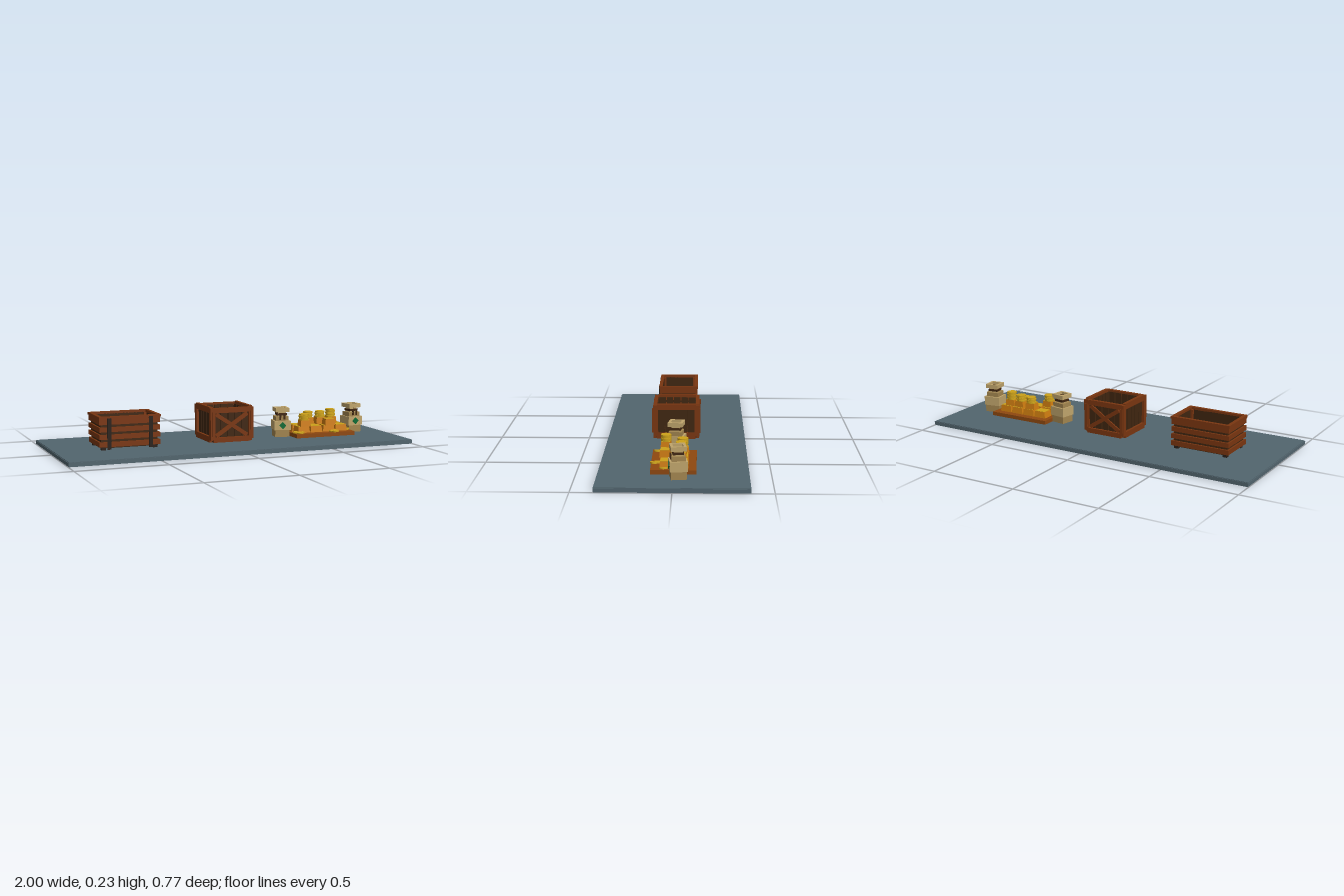
import * as THREE from 'three';

const mat = (name, color) => {
  const m = new THREE.MeshStandardMaterial({ color });
  m.name = name;
  return m;
};

export function createModel() {
  const slate = mat('slate', 0x52656e), wood = mat('wood', 0x7a3610), darkWood = mat('darkWood', 0x402610);
  const iron = mat('iron', 0x2a2019), palletWood = mat('palletWood', 0x8f480f);
  const amber = mat('amber', 0xcf7d10), gold = mat('gold', 0xcda21a);
  const cloth = mat('cloth', 0xc0a56c), shadeCloth = mat('shadeCloth', 0xa2854f), green = mat('green', 0x0b6b35);

  const model = new THREE.Group();
  model.name = 'treasureDisplay';

  const group = (name, x, z, turn = 0) => {
    const g = new THREE.Group();
    g.name = name;
    g.position.set(x, 0, z);
    g.rotation.y = turn;
    model.add(g);
    return g;
  };
  const add = (parent, name, geometry, material, x, y, z) => {
    const m = new THREE.Mesh(geometry, material);
    m.name = name;
    m.position.set(x, y, z);
    parent.add(m);
    return m;
  };
  // Box given by its width, vertical range and depth
  const box = (parent, name, material, w, y0, y1, d, x = 0, z = 0) =>
    add(parent, name, new THREE.BoxGeometry(w, y1 - y0, d), material, x, (y0 + y1) / 2, z);

  // Ground slab
  const base = group('base', 0, 0);
  box(base, 'slab', slate, 2, 0.003, 0.022, 0.77);
  box(base, 'slabCore', slate, 1.992, 0, 0.025, 0.764);

  // Long open crate with horizontal planks
  const longCrate = group('longCrate', -0.591, 0);
  const rows = [[0.043, 0.07], [0.084, 0.11], [0.124, 0.15], [0.164, 0.196]];
  for (const s of [-1, 1]) {
    box(longCrate, 'longLining', darkWood, 0.318, 0.042, 0.196, 0.006, 0, s * 0.099);
    box(longCrate, 'endLining', darkWood, 0.006, 0.042, 0.196, 0.198, s * 0.157);
    for (const [a, b] of rows) {
      box(longCrate, 'longPlank', wood, 0.342, a, b, 0.01, 0, s * 0.107);
      box(longCrate, 'endPlank', wood, 0.01, a, b, 0.204, s * 0.165);
    }
    box(longCrate, 'longRim', wood, 0.348, 0.194, 0.208, 0.02, 0, s * 0.106);
    box(longCrate, 'endRim', wood, 0.02, 0.194, 0.208, 0.192, s * 0.164);
    box(longCrate, 'ironStrap', iron, 0.022, 0.03, 0.2, 0.007, s * 0.117, 0.115);
    for (const t of [-1, 1]) {
      box(longCrate, 'foot', iron, 0.024, 0.025, 0.044, 0.024, s * 0.145, t * 0.09);
      box(longCrate, 'cornerPost', wood, 0.016, 0.04, 0.195, 0.016, s * 0.149, t * 0.091);
    }
  }
  box(longCrate, 'floorBacking', darkWood, 0.32, 0.036, 0.044, 0.2);
  for (let i = 0; i < 6; i++) {
    box(longCrate, 'floorPlank', wood, 0.047, 0.038, 0.049, 0.196, -0.13 + i * 0.052);
  }

  // Square crate with framed sides and crossed braces
  const crate = group('squareCrate', -0.003, 0);
  box(crate, 'floor', darkWood, 0.224, 0.036, 0.044, 0.224);
  for (let i = 0; i < 5; i++) {
    const p = -0.084 + i * 0.042;
    box(crate, 'floorPlank', darkWood, 0.038, 0.04, 0.048, 0.21, p);
    for (const s of [-1, 1]) {
      box(crate, 'wallPlank', darkWood, 0.037, 0.034, 0.215, 0.012, p, s * 0.108);
      box(crate, 'sidePlank', darkWood, 0.012, 0.034, 0.215, 0.037, s * 0.108, p);
    }
  }
  for (const s of [-1, 1]) {
    for (const [a, b] of [[0.032, 0.06], [0.197, 0.225]]) {
      box(crate, 'frontRail', wood, 0.22, a, b, 0.02, 0, s * 0.118);
      box(crate, 'sideRail', wood, 0.02, a, b + 0.005, 0.216, s * 0.118);
    }
    for (const t of [-1, 1]) {
      box(crate, 'cornerPost', wood, 0.027, 0.045, 0.224, 0.027, s * 0.115, t * 0.115);
      box(crate, 'cornerPlate', wood, 0.016, 0.066, 0.203, 0.008, s * 0.114, t * 0.131);
      const brace = box(crate, 'crossBrace', wood, 0.222, 0.117, 0.139, 0.01, 0, s * 0.118 + t * 0.001);
      brace.rotation.z = t * 0.58;
    }
  }

  // Pallet
  const pile = group('treasurePile', 0.588, 0);
  box(pile, 'pallet', palletWood, 0.372, 0.025, 0.047, 0.234);

  // Ingot with sloping sides and a bright top
  const ingot = (x, y, z, w, d, h, turn = 0) => {
    const g = new THREE.BoxGeometry(w, h, d);
    const p = g.attributes.position;
    for (let i = 0; i < p.count; i++) {
      if (p.getY(i) > 0) p.setXYZ(i, p.getX(i) * 0.88, h / 2, p.getZ(i) * 0.88);
    }
    g.computeVertexNormals();
    add(pile, 'ingot', g, amber, x, y + h / 2, z).rotation.y = turn;
    box(pile, 'ingotTop', gold, w * 0.84, y + h - 0.001, y + h + 0.002, d * 0.84, x, z).rotation.y = turn;
  };
  for (let i = 0; i < 4; i++) {
    for (const z of [-0.043, 0.038]) ingot(-0.12 + i * 0.08, 0.047, z, 0.076, 0.068, 0.036);
  }
  const upper = [[-0.108, 0.045], [-0.045, -0.043], [0.033, -0.038], [0.1, -0.038], [0.05, 0.045]];
  upper.forEach(([x, z], i) => ingot(x, 0.083, z, 0.062, 0.055, 0.036, (i % 2 ? 1 : -1) * 0.06));

  // Coins, stacked and loose
  const coin = (x, y, z, r = 0.028) =>
    add(pile, 'coin', new THREE.CylinderGeometry(r, r, 0.008, 12), gold, x, y + 0.004, z);
  const stacks = [[-0.111, 0.119, 0.045, 4], [-0.043, 0.119, -0.045, 4], [0.032, 0.119, -0.038, 4], [0.102, 0.119, -0.038, 5]];
  for (const [x, y, z, n] of stacks) {
    for (let i = 0; i < n; i++) coin(x + (i % 2) * 0.004 - 0.002, y + i * 0.0093, z);
  }
  for (const [x, z] of [[-0.165, 0.062], [-0.15, 0.088], [0.067, 0.1], [0.06, 0.085], [0.16, 0.05]]) {
    coin(x, 0.048, z, 0.022).rotation.z = 0.12;
  }

  // Stepped cloth sacks with an open neck
  const sack = (x, z, turn) => {
    const g = group('sack', x, z, turn);
    box(g, 'sackBase', shadeCloth, 0.086, 0.025, 0.068, 0.08);
    box(g, 'sackBody', cloth, 0.096, 0.066, 0.118, 0.09);
    box(g, 'sackShoulder', shadeCloth, 0.076, 0.118, 0.143, 0.07);
    box(g, 'sackNeck', cloth, 0.046, 0.143, 0.172, 0.044);
    box(g, 'cord', darkWood, 0.058, 0.149, 0.161, 0.056);
    box(g, 'neckInside', darkWood, 0.058, 0.168, 0.178, 0.058);
    for (const s of [-1, 1]) {
      box(g, 'sackRim', cloth, 0.08, 0.17, 0.193, 0.014, 0, s * 0.033);
      box(g, 'sackRim', cloth, 0.014, 0.17, 0.193, 0.054, s * 0.033);
      box(g, 'cordEnd', darkWood, 0.008, 0.125, 0.152, 0.006, s * 0.012, 0.037);
    }
    // Plain diamond patch
    add(g, 'patch', new THREE.BoxGeometry(0.03, 0.03, 0.004), green, 0, 0.092, 0.046).rotation.z = Math.PI / 4;
  };
  sack(0.355, -0.006, -0.17);
  sack(0.823, -0.025, 0.14);

  return model;
}
